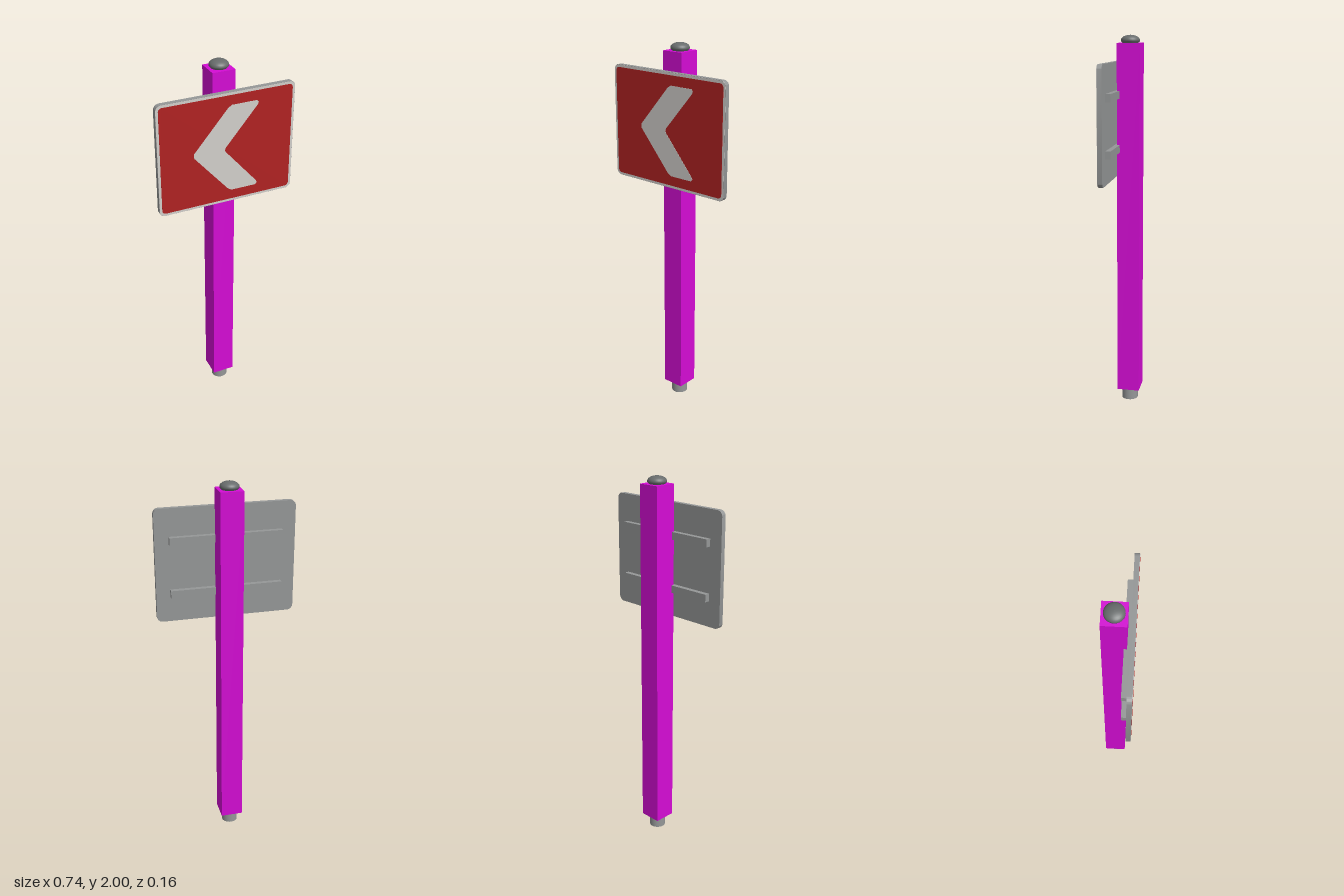
import * as THREE from 'three';
import { toCreasedNormals } from 'three/addons/utils/BufferGeometryUtils.js';

const mat = (name, color) => {
  const m = new THREE.MeshStandardMaterial({ color });
  m.name = name;
  return m;
};

// Rounded rectangle outline centred on the origin
function roundedRect(w, h, r) {
  const x = w / 2, y = h / 2, s = new THREE.Shape();
  s.moveTo(-x + r, -y);
  s.lineTo(x - r, -y);
  s.absarc(x - r, -y + r, r, -Math.PI / 2, 0);
  s.lineTo(x, y - r);
  s.absarc(x - r, y - r, r, 0, Math.PI / 2);
  s.lineTo(-x + r, y);
  s.absarc(-x + r, y - r, r, Math.PI / 2, Math.PI);
  s.lineTo(-x, -y + r);
  s.absarc(-x + r, -y + r, r, Math.PI, Math.PI * 1.5);
  return s;
}

export function createModel() {
  const group = new THREE.Group();
  group.name = 'roadSign';
  const magenta = mat('magenta', 0xd40cd4);
  const steel = mat('steelGrey', 0x959797);
  const dark = mat('darkGrey', 0x686c6c);
  const red = mat('signRed', 0xb02222);
  const white = mat('reflectiveWhite', 0xd2cfcb);

  const add = (name, geometry, material, x, y, z) => {
    const mesh = new THREE.Mesh(geometry, material);
    mesh.name = name;
    mesh.position.set(x, y, z);
    group.add(mesh);
  };
  const plate = (shape, depth) => toCreasedNormals(
    new THREE.ExtrudeGeometry(shape, { depth, bevelEnabled: false, curveSegments: 8 }), 0.6);

  // Post with its round foot
  const postZ = -0.02;
  add('post', new THREE.BoxGeometry(0.12, 1.895, 0.12), magenta, 0, 1.0125, postZ);
  add('foot', new THREE.CylinderGeometry(0.044, 0.044, 0.08, 32), steel, 0, 0.04, postZ);

  // Domed cap: narrow collar, wide rim, shallow dome
  const profile = [[0.04, 1.955], [0.042, 1.962], [0.049, 1.968], [0.049, 1.974]]
    .map(([r, y]) => new THREE.Vector2(r, y));
  for (let i = 1; i <= 8; i++) {
    const a = (i / 8) * Math.PI / 2;
    profile.push(new THREE.Vector2(i === 8 ? 0 : 0.049 * Math.cos(a), 1.974 + 0.026 * Math.sin(a)));
  }
  add('cap', new THREE.LatheGeometry(profile, 32), dark, 0, 0, postZ);

  // Sign panel and its two mounting rails
  const signY = 1.565;
  add('panel', plate(roundedRect(0.738, 0.6, 0.03), 0.025), steel, 0, signY, 0.052);
  for (const y of [1.42, 1.7])
    add('mountingRail', new THREE.BoxGeometry(0.592, 0.04, 0.028), steel, 0, y, 0.039);

  // Painted face: white border, red field, white chevron
  add('border', plate(roundedRect(0.736, 0.598, 0.029), 0.001), white, 0, signY, 0.077);
  add('redField', plate(roundedRect(0.71, 0.572, 0.02), 0.001), red, 0, signY, 0.078);

  const upper = [[-0.178, 0.012], [0.004, 0.222], [0.024, 0.235], [0.16, 0.235],
    [0.169, 0.224], [0.162, 0.21], [-0.008, 0.012]];
  const lower = upper.map(([x, y]) => [x, -y]).reverse();
  const outline = [...upper, [-0.013, 0], ...lower].map(([x, y]) => new THREE.Vector2(x, y));
  add('chevron', plate(new THREE.Shape(outline), 0.001), white, 0, signY, 0.079);

  return group;
}
